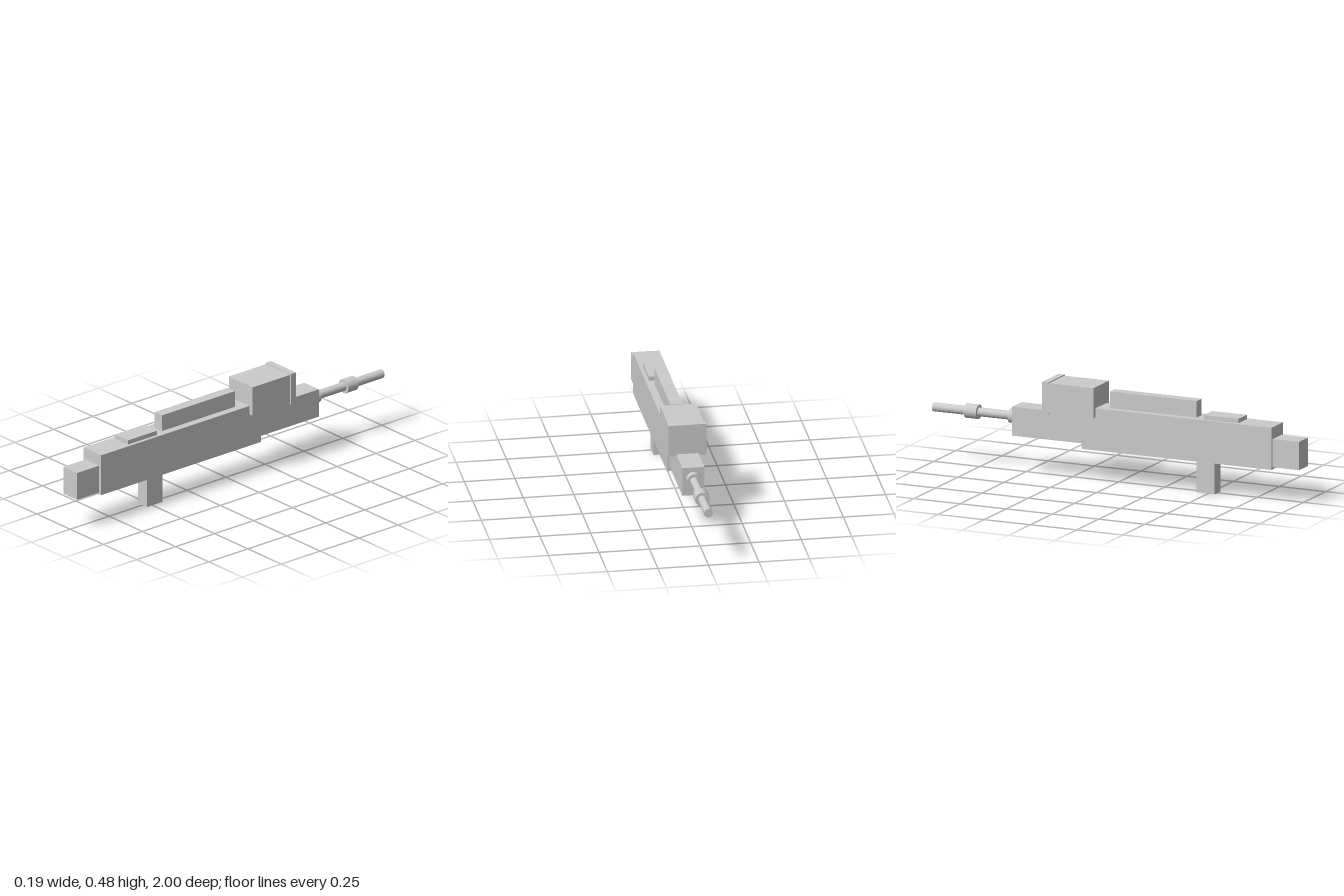
import * as THREE from 'three';

export function createModel() {
  const model = new THREE.Group();
  const material = new THREE.MeshStandardMaterial({ color: 0xcccccc });

  // Box centred on x = 0, given its width and its y and z ranges
  function box(name, width, y0, y1, z0, z1) {
    const mesh = new THREE.Mesh(new THREE.BoxGeometry(width, y1 - y0, z1 - z0), material);
    mesh.name = name;
    mesh.position.set(0, (y0 + y1) / 2, (z0 + z1) / 2);
    model.add(mesh);
  }

  // Round part lying along z on the barrel axis
  function rod(name, radius, z0, z1) {
    const geometry = new THREE.CylinderGeometry(radius, radius, z1 - z0, 16).rotateX(Math.PI / 2);
    const mesh = new THREE.Mesh(geometry, material);
    mesh.name = name;
    mesh.position.set(0, 0.274, (z0 + z1) / 2);
    model.add(mesh);
  }

  // Main body
  box('endBlock', 0.102, 0.172, 0.314, 0.855, 1);
  box('body', 0.131, 0.162, 0.373, -0.17, 0.857);
  box('foreBlock', 0.109, 0.187, 0.332, -0.55, -0.168);
  box('grip', 0.066, 0, 0.164, 0.435, 0.535);

  // Top fittings
  box('topPlate', 0.095, 0.371, 0.395, 0.482, 0.67);
  box('topRail', 0.056, 0.371, 0.456, -0.034, 0.435);
  box('sightHousing', 0.178, 0.328, 0.479, -0.34, -0.095);
  box('sightRim', 0.188, 0.323, 0.484, -0.37, -0.336);

  // Barrel with its two collars
  rod('barrel', 0.022, -1, -0.548);
  rod('rearCollar', 0.036, -0.585, -0.548);
  rod('frontCollar', 0.036, -0.822, -0.755);

  return model;
}
